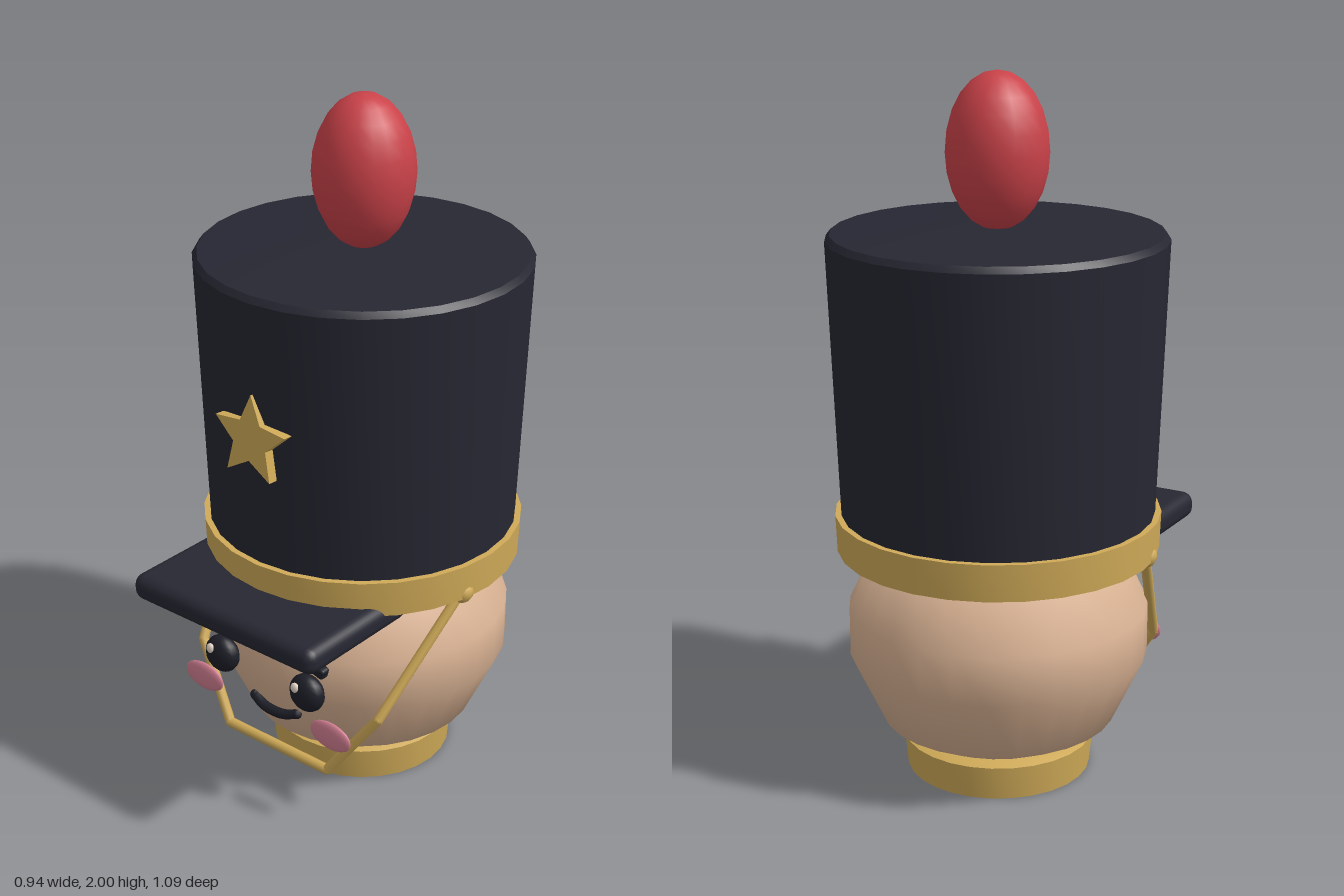
import * as THREE from 'three';
import { toCreasedNormals } from 'three/addons/utils/BufferGeometryUtils.js';
import { RoundedBoxGeometry } from 'three/addons/geometries/RoundedBoxGeometry.js';

const mat = (name, color) => {
  const m = new THREE.MeshStandardMaterial({ color });
  m.name = name;
  return m;
};

export function createModel() {
  const navy = mat('navy felt', 0x262732);
  const black = mat('black paint', 0x1d1e27);
  const gold = mat('gold', 0xcfaa58);
  const skin = mat('skin', 0xdab394);
  const red = mat('plume red', 0xca4249);
  const pink = mat('cheek pink', 0xd27f92);
  const cream = mat('eye glint', 0xe8d8c8);

  const model = new THREE.Group();
  model.name = 'toySoldierHead';
  const AXIS_Z = -0.077; // shared axis of neck, head and hat

  const add = (name, geometry, material, x, y, z) => {
    const mesh = new THREE.Mesh(geometry, material);
    mesh.name = name;
    mesh.position.set(x, y, z);
    model.add(mesh);
    return mesh;
  };
  // Turned part: profile of [radius, height] pairs from bottom to top
  const turned = (name, profile, material, crease) => {
    const g = new THREE.LatheGeometry(profile.map(([r, y]) => new THREE.Vector2(r, y)), 28);
    return add(name, crease ? toCreasedNormals(g, crease) : g, material, 0, 0, AXIS_Z);
  };
  // Squashed sphere
  const blob = (name, material, x, y, z, sx, sy, sz, w = 16, h = 12) => {
    const m = add(name, new THREE.SphereGeometry(1, w, h), material, x, y, z);
    m.scale.set(sx, sy, sz);
    return m;
  };

  // Neck, head and hat
  turned('neck', [[0, 0], [0.265, 0], [0.274, 0.097], [0.235, 0.112], [0, 0.112]], gold, 0.5);
  turned('head', [[0, 0.06], [0.2, 0.088], [0.336, 0.16], [0.427, 0.355], [0.427, 0.495],
    [0.336, 0.69], [0, 0.72]], skin);
  turned('hatBand', [[0, 0.67], [0.456, 0.67], [0.46, 0.775], [0.43, 0.775]], gold, 0.5);
  turned('hatCrown', [[0.442, 0.76], [0.47, 1.55], [0.457, 1.567], [0.12, 1.581], [0, 1.581]], navy, 0.5);
  blob('plume', red, 0, 1.785, AXIS_Z, 0.143, 0.215, 0.143, 18, 12);

  // Visor
  add('visor', new RoundedBoxGeometry(0.664, 0.08, 0.426, 3, 0.034), navy, 0, 0.655, 0.333);

  // Star badge, leaning with the hat front
  const starShape = new THREE.Shape();
  for (let i = 0; i < 10; i++) {
    const r = i % 2 ? 0.06 : 0.128;
    const a = Math.PI / 2 + (i * Math.PI) / 5;
    starShape[i ? 'lineTo' : 'moveTo'](r * Math.cos(a), r * Math.sin(a));
  }
  starShape.closePath();
  const star = add('starBadge',
    new THREE.ExtrudeGeometry(starShape, { depth: 0.03, bevelEnabled: false }), gold, 0, 1.161, 0.371);
  star.rotation.x = -0.07;

  // Paired face features
  for (const s of [-1, 1]) {
    const side = s > 0 ? 'left' : 'right';
    blob(side + 'Eye', black, s * 0.16, 0.415, 0.362, 0.057, 0.057, 0.038);
    blob(side + 'EyeGlint', cream, s * 0.16 - 0.018, 0.437, 0.391, 0.016, 0.016, 0.01, 10, 8);
    blob(side + 'Cheek', pink, s * 0.24, 0.302, 0.357, 0.073, 0.044, 0.014, 20, 10);
    const brow = add(side + 'Brow', new RoundedBoxGeometry(0.16, 0.034, 0.032, 2, 0.01), black,
      s * 0.159, 0.53, 0.37);
    brow.rotation.z = -s * 0.28;
    blob(side + 'StrapKnob', gold, s * 0.422, 0.68, 0.006, 0.034, 0.034, 0.034, 12, 8);
  }

  // Mouth
  const mouthCurve = new THREE.CatmullRomCurve3([[-0.08, 0.284, 0.315], [-0.035, 0.27, 0.325],
    [0.035, 0.27, 0.325], [0.08, 0.284, 0.315]].map((p) => new THREE.Vector3(...p)));
  add('mouth', new THREE.TubeGeometry(mouthCurve, 12, 0.015, 8), black, 0, 0, 0);
  for (const s of [-1, 1]) blob('mouthEnd', black, s * 0.08, 0.284, 0.315, 0.015, 0.015, 0.015, 8, 6);

  // Chin strap: straight rods joined by small balls
  const half = [[0.422, 0.68, 0.006], [0.333, 0.345, 0.26], [0.187, 0.138, 0.31]];
  const path = [...half.map(([x, y, z]) => new THREE.Vector3(-x, y, z)),
    ...half.slice().reverse().map((p) => new THREE.Vector3(...p))];
  const up = new THREE.Vector3(0, 1, 0);
  for (let i = 0; i < path.length - 1; i++) {
    const dir = path[i + 1].clone().sub(path[i]);
    const mid = path[i].clone().add(path[i + 1]).multiplyScalar(0.5);
    const rod = add('chinStrap', new THREE.CylinderGeometry(0.015, 0.015, dir.length(), 8), gold,
      mid.x, mid.y, mid.z);
    rod.quaternion.setFromUnitVectors(up, dir.normalize());
    if (i) blob('chinStrapJoint', gold, path[i].x, path[i].y, path[i].z, 0.015, 0.015, 0.015, 8, 6);
  }
  return model;
}
